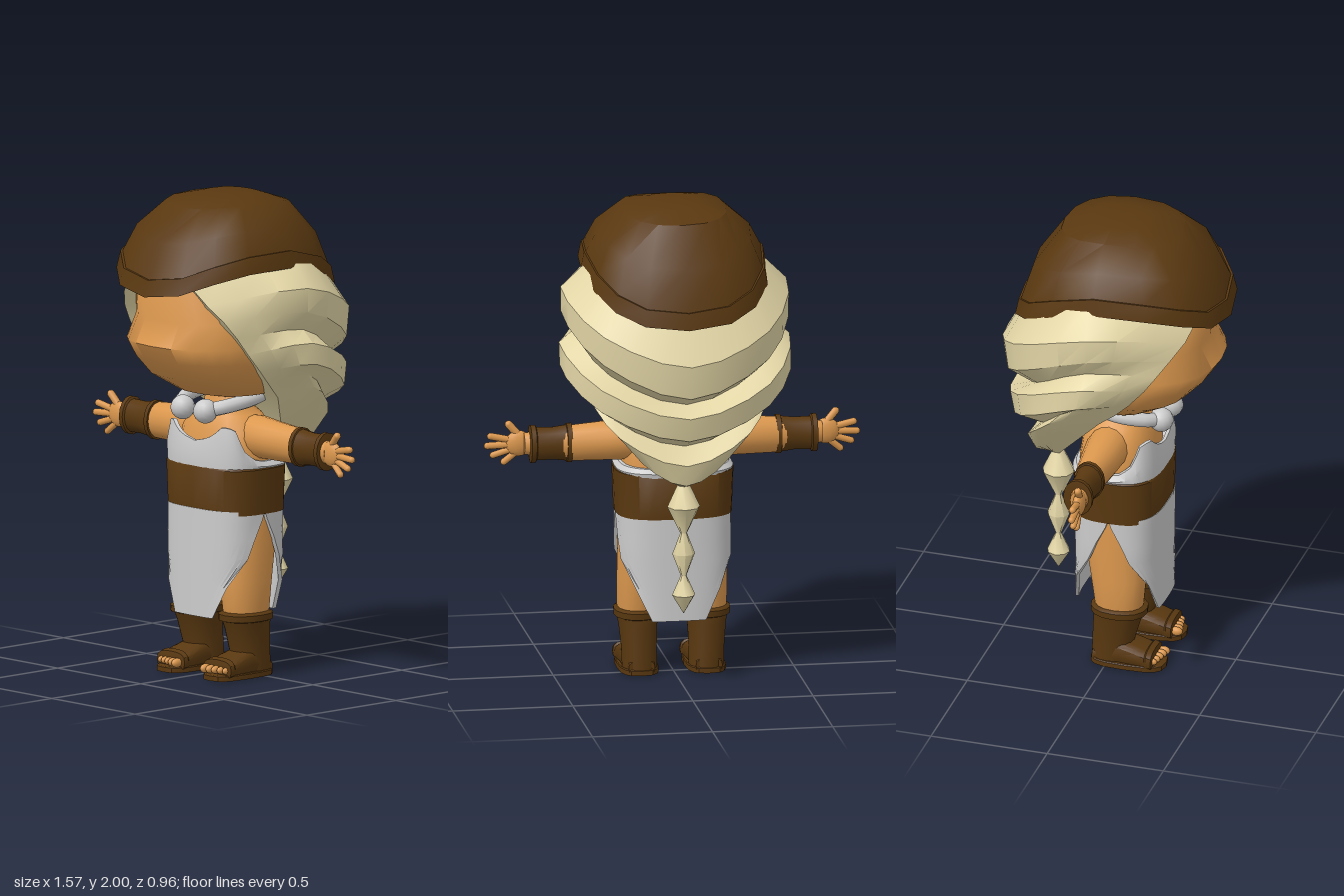
import * as THREE from 'three';
import { toCreasedNormals } from 'three/addons/utils/BufferGeometryUtils.js';

const V = (x, y, z) => new THREE.Vector3(x, y, z);
const mat = (color) => new THREE.MeshStandardMaterial({ color, side: THREE.DoubleSide });
const skin = mat(0xdc984e), hairMat = mat(0xe3d6a6), leather = mat(0x593810), cloth = mat(0xcccccc);
const spow = (v, p) => Math.sign(v) * Math.abs(v) ** p;
const lerp = THREE.MathUtils.lerp;

// Ring round centre c with half axes a and b; p below 1 squares it off
function ring(c, a, b, p = 1, n = 16) {
  return Array.from({ length: n }, (_, i) => {
    const t = (i / n) * Math.PI * 2;
    return c.clone().addScaledVector(a, spow(Math.cos(t), p)).addScaledVector(b, spow(Math.sin(t), p));
  });
}
const flat = (x, y, z, rx, rz, p = 1, n = 16) => ring(V(x, y, z), V(rx, 0, 0), V(0, 0, rz), p, n);

// Closed skin over a row of rings, turned so that it faces outwards
function loft(rings, crease = 0.7) {
  const n = rings[0].length, pts = rings.flat(), idx = [];
  for (let j = 0; j < rings.length - 1; j++)
    for (let i = 0; i < n; i++) {
      const a = j * n + i, b = j * n + (i + 1) % n;
      idx.push(a, a + n, b, b, a + n, b + n);
    }
  const ends = [rings[0], rings[rings.length - 1]].map((r) =>
    r.reduce((s, v) => s.add(v), V(0, 0, 0)).divideScalar(n));
  const c = pts.length, last = c - n, all = [...pts, ...ends];
  for (let i = 0; i < n; i++) {
    const k = (i + 1) % n;
    idx.push(c, i, k, c + 1, last + k, last + i);
  }
  let volume = 0;
  for (let i = 0; i < idx.length; i += 3)
    volume += all[idx[i]].dot(all[idx[i + 1]].clone().cross(all[idx[i + 2]]));
  if (volume < 0) idx.reverse();
  const g = new THREE.BufferGeometry().setFromPoints(all);
  g.setIndex(idx);
  return toCreasedNormals(g, crease);
}

export function createModel() {
  const model = new THREE.Group();
  const add = (name, geo, material, parent = model) => {
    const m = new THREE.Mesh(geo, material);
    m.name = name;
    parent.add(m);
    return m;
  };
  const ball = (name, r, x, y, z, material, parent, sx = 1, sy = 1, sz = 1) => {
    const m = add(name, new THREE.SphereGeometry(r, 14, 10), material, parent);
    m.position.set(x, y, z);
    m.scale.set(sx, sy, sz);
  };

  // Head: y, half width, front z, back z
  add('head', loft([
    [1.155, 0.1, 0.1, -0.08], [1.175, 0.2, 0.19, -0.14], [1.25, 0.285, 0.32, -0.2], [1.33, 0.322, 0.395, -0.25],
    [1.4, 0.33, 0.44, -0.28], [1.5, 0.322, 0.388, -0.3], [1.63, 0.3, 0.41, -0.3], [1.75, 0.25, 0.33, -0.26],
  ].map(([y, rx, f, b]) => flat(0, y, (f + b) / 2, rx, (f - b) / 2, 0.85, 24)), 1), skin);

  // Hair: tiers sweeping from the face edge, past the side, to the back
  const tiers = [
    [[0.16, 1.69, 0.4], [0.36, 1.76, -0.02], [1.62, -0.37]],
    [[0.25, 1.59, 0.36], [0.47, 1.65, 0], [1.41, -0.482]],
    [[0.3, 1.52, 0.31], [0.47, 1.55, 0], [1.27, -0.462]],
    [[0.325, 1.45, 0.26], [0.42, 1.47, -0.02], [1.22, -0.35]],
    [[0.335, 1.38, 0.21], [0.48, 1.42, -0.02], [1.18, -0.445]],
    [[0.335, 1.3, 0.14], [0.48, 1.33, -0.04], [1.08, -0.42]],
    [[0.32, 1.24, 0.08], [0.39, 1.27, -0.08], [1.03, -0.3]],
    [[0.29, 1.17, 0], [0.37, 1.21, -0.13], [0.96, -0.365]],
    [[0.2, 1.05, -0.1], [0.24, 1.07, -0.18], [0.87, -0.34]],
    [[0.03, 0.86, -0.25], [0.03, 0.86, -0.27], [0.855, -0.29]],
  ];
  add('hair', loft(tiers.map(([f, s, [by, bz]]) => {
    const half = [f, s, [s[0] * 0.73, lerp(s[1], by, 0.55), lerp(s[2], bz, 0.73)]];
    const path = [...half, [0, by, bz], ...half.map(([x, y, z]) => [-x, y, z]).reverse()];
    const row = new THREE.CatmullRomCurve3(path.map((q) => V(...q))).getPoints(18);
    return [...row, V(0, f[1], lerp(f[2], bz, 0.15))];
  }), 0.6), hairMat);

  // Braid hanging from the tail of the hair
  const braid = [[0, 0.31], [0.048, 0.39], [0.012, 0.472], [0.047, 0.565], [0.014, 0.652], [0.068, 0.765], [0.02, 0.87]];
  add('braid', toCreasedNormals(new THREE.LatheGeometry(braid.map(([r, y]) => new THREE.Vector2(r, y)), 8), 0.8), hairMat)
    .position.z = -0.263;

  // Cap: the brim dips at the front and back; each ring has a scale, a lift and a blend to the crown
  const capRing = ([k, lift, t]) => Array.from({ length: 16 }, (_, i) => {
    const a = (i / 16) * Math.PI * 2, s = Math.sin(a);
    const y = 1.725 - (s > 0 ? 0.115 * s ** 3 : 0.175 * Math.abs(s) ** 1.3) + lift;
    return V(0.385 * k * spow(Math.cos(a), 0.8), lerp(y, 2, t), (s > 0 ? 0.48 : 0.42) * k * spow(s, 0.8));
  });
  add('cap', loft([
    [0.88, 0.06, 0], [0.95, 0, 0], [1, 0, 0], [0.965, 0.07, 0], [0.945, 0.07, 0],
    [0.82, 0.07, 0.45], [0.56, 0.07, 0.87], [0.28, 0.07, 0.98], [0.02, 0.07, 1],
  ].map(capRing), 0.6), leather);

  // Torso and neck: y, half width, half depth
  add('torso', loft([
    [0.62, 0.2, 0.15], [0.75, 0.22, 0.165], [0.92, 0.215, 0.16], [1.02, 0.2, 0.145],
    [1.08, 0.15, 0.115], [1.11, 0.1, 0.09], [1.2, 0.08, 0.08],
  ].map(([y, rx, rz]) => flat(0, y, 0.01, rx, rz, 0.8, 20)), 1), skin);

  // Bodice with a heart-shaped neckline, low at the back
  const neckline = [[0, 0.98], [0.3, 1.01], [0.55, 1.05], [0.9, 1.04], [1.15, 0.95], [1.5, 0.9], [3.2, 0.895]];
  const topAt = (t) => {
    const i = Math.max(1, neckline.findIndex(([q]) => q >= t));
    const [a, b] = [neckline[i - 1], neckline[i]];
    return lerp(a[1], b[1], (t - a[0]) / (b[0] - a[0]));
  };
  add('bodice', loft([[1, 0], [1.02, 0.5], [0.95, 1], [0.88, 1], [0.85, 0.6]].map(([k, t]) =>
    Array.from({ length: 48 }, (_, i) => {
      const a = ((i - 24) / 24) * Math.PI;
      return V(0.24 * k * spow(Math.sin(a), 0.67), lerp(0.86, topAt(Math.abs(a)), t),
        0.02 + 0.188 * k * spow(Math.cos(a), 0.67));
    })), 0.7), cloth);

  // Wide belt
  add('belt', loft([[0.68, 0.215], [0.682, 0.24], [0.69, 0.24], [0.87, 0.247], [0.88, 0.24], [0.88, 0.215]]
    .map(([y, r]) => flat(0, y, 0.022, r, r * 0.77, 0.67, 32)), 0.6), leather);

  // Skirt: front and back panels narrowing downwards; y and half spread in degrees
  for (const [name, d] of [['skirtFront', 1], ['skirtBack', -1]]) {
    add(name, loft([[0.7, 90], [0.66, 89], [0.58, 81], [0.5, 71], [0.38, 39], [0.25, 19]].map(([y, spread]) => {
      const edge = (k) => Array.from({ length: 17 }, (_, i) => {
        const a = THREE.MathUtils.degToRad(spread * (i - 8) / 8);
        return V(0.238 * k * spow(Math.sin(a), 0.67), y, 0.024 + d * (0.186 * k * spow(Math.cos(a), 0.67)));
      });
      return [...edge(1), ...edge(0.93).reverse()];
    }), 0.6), cloth);
  }

  // Open collar with round ends
  const collarHalf = [[0.065, 1.11, 0.2], [0.13, 1.13, 0.14], [0.16, 1.15, 0.03], [0.12, 1.165, -0.08]];
  const collarPath = [...collarHalf, [0, 1.17, -0.12], ...collarHalf.map(([x, y, z]) => [-x, y, z]).reverse()];
  add('collar', new THREE.TubeGeometry(new THREE.CatmullRomCurve3(collarPath.map((q) => V(...q))), 40, 0.03, 10), cloth);

  for (const s of [1, -1]) {
    const side = s > 0 ? 'left' : 'right';
    ball(side + 'CollarBall', 0.051, s * 0.068, 1.11, 0.2, cloth);

    // Arm, cuff and hand: sections run along x
    const arm = new THREE.Group();
    arm.name = side + 'Arm';
    model.add(arm);
    const along = ([x, y, z, ry, rz]) => ring(V(s * x, y, z), V(0, ry, 0), V(0, 0, rz));
    add('upperArm', loft([
      [0.08, 1.0, 0, 0.08, 0.08], [0.18, 0.995, 0, 0.088, 0.09], [0.28, 0.99, 0, 0.082, 0.08],
      [0.42, 0.985, 0, 0.076, 0.062], [0.62, 0.985, 0.015, 0.045, 0.035],
    ].map(along), 1), skin, arm);
    add('cuff', loft([
      [0.425, 0.07], [0.425, 0.083], [0.445, 0.083], [0.447, 0.076], [0.5, 0.069],
      [0.57, 0.07], [0.575, 0.08], [0.595, 0.08], [0.598, 0.055],
    ].map(([x, r]) => along([x, 0.985, 0.005, r, r * 0.78])), 0.6), leather, arm);
    ball('palm', 0.06, s * 0.64, 0.985, 0.025, skin, arm, 0.95, 0.9, 0.42);
    for (const [x, y, r] of [[0.68, 1.065, 0.016], [0.755, 1.017, 0.015], [0.768, 0.977, 0.015], [0.745, 0.937, 0.014], [0.7, 0.907, 0.014]]) {
      const base = V(s * 0.62, lerp(0.985, y, 0.15), 0.022), tip = V(s * x, y, 0.032);
      const dir = tip.clone().sub(base);
      const f = add('finger', new THREE.CapsuleGeometry(r, dir.length(), 4, 8), skin, arm);
      f.position.copy(base).addScaledVector(dir, 0.5);
      f.quaternion.setFromUnitVectors(V(0, 1, 0), dir.normalize());
    }

    // Leg and open-toed boot
    const leg = new THREE.Group();
    leg.name = side + 'Leg';
    model.add(leg);
    add('thigh', loft([
      [0.18, 0.14, 0.04, 0.07, 0.08], [0.28, 0.145, 0.045, 0.083, 0.103], [0.4, 0.137, 0.04, 0.092, 0.117],
      [0.55, 0.12, 0.025, 0.108, 0.13], [0.7, 0.115, 0.015, 0.108, 0.14],
    ].map(([y, x, z, rx, rz]) => flat(s * x, y, z, rx, rz, 0.9)), 1), skin, leg);
    add('bootShaft', loft([
      [0.01, 0.073, 0.085, 0.012], [0.1, 0.073, 0.088, 0.018], [0.2, 0.08, 0.1, 0.035], [0.232, 0.086, 0.106, 0.042],
      [0.236, 0.097, 0.118, 0.045], [0.262, 0.097, 0.12, 0.045], [0.272, 0.082, 0.1, 0.045],
    ].map(([y, rx, rz, z]) => flat(s * lerp(0.138, 0.144, y / 0.25), y, z, rx, rz, 0.9)), 0.6), leather, leg);
    add('bootFoot', loft([
      [-0.06, 0.055, 0.06], [0.06, 0.075, 0.12], [0.13, 0.077, 0.098], [0.17, 0.078, 0.082],
      [0.178, 0.083, 0.09], [0.2, 0.083, 0.082], [0.203, 0.07, 0.07],
    ].map(([z, rx, h]) => ring(V(s * 0.14, h / 2, z), V(rx, 0, 0), V(0, h / 2, 0), 0.7)), 0.6), leather, leg);
    add('sole', loft([[0, 0.98], [0, 1], [0.02, 1], [0.024, 0.96]].map(([y, k]) =>
      flat(s * 0.14, y, 0.085, 0.083 * k, 0.16 * k, 0.65)), 0.6), leather, leg);
    for (let i = 0; i < 5; i++)
      ball('toe', 0.019 - i * 0.0012, s * (0.086 + i * 0.027), 0.042, 0.217 - i * 0.004, skin, leg, 0.85, 1, 1.4);
  }
  return model;
}
